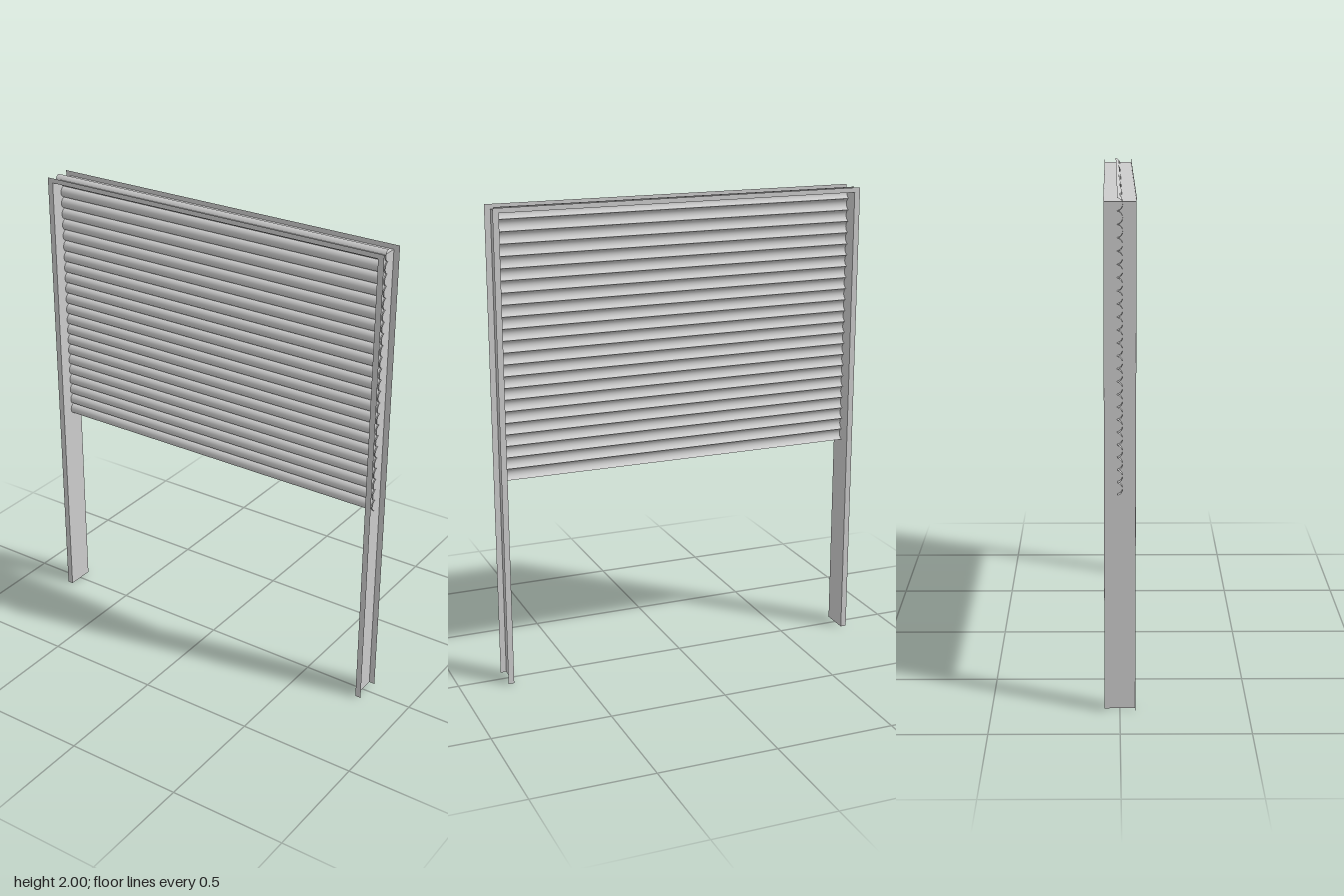
import * as THREE from 'three';

const OUTER = 0.8, INNER = 0.775, TOP = 2, LINTEL = 1.98, HALF_DEPTH = 0.06;

export function createModel() {
  const group = new THREE.Group();
  const mat = new THREE.MeshStandardMaterial({ color: 0xcccccc, side: THREE.DoubleSide });
  const add = (geo, name, parent = group) => {
    const mesh = new THREE.Mesh(geo, mat);
    mesh.name = name;
    parent.add(mesh);
    return mesh;
  };

  // Thin sheet frame: an outward-opening channel round both sides and the top
  const frame = new THREE.Group();
  frame.name = 'frame';
  group.add(frame);

  const outline = new THREE.Shape([
    [-OUTER, 0], [-INNER, 0], [-INNER, LINTEL], [INNER, LINTEL],
    [INNER, 0], [OUTER, 0], [OUTER, TOP], [-OUTER, TOP],
  ].map(([x, y]) => new THREE.Vector2(x, y)));
  for (const s of [1, -1]) {
    const geo = new THREE.ShapeGeometry(outline);
    if (s < 0) geo.rotateY(Math.PI);
    add(geo, s > 0 ? 'frontFlange' : 'backFlange', frame).position.z = s * HALF_DEPTH;

    // Side web joining the two flanges
    const web = new THREE.PlaneGeometry(HALF_DEPTH * 2, LINTEL).rotateY(s * Math.PI / 2);
    add(web, s > 0 ? 'leftWeb' : 'rightWeb', frame).position.set(s * INNER, LINTEL / 2, 0);
  }
  const topWeb = new THREE.PlaneGeometry(INNER * 2, HALF_DEPTH * 2).rotateX(-Math.PI / 2);
  add(topWeb, 'topWeb', frame).position.y = LINTEL;

  // Curtain of curved slats, bulging forward and running into the channels
  const curtain = new THREE.Group();
  curtain.name = 'curtain';
  group.add(curtain);

  const count = 23, bottom = 0.88, top = 1.997, sag = 0.02;
  const pitch = (top - bottom) / count;
  const radius = (pitch * pitch / 4 + sag * sag) / (2 * sag);
  const half = Math.asin(pitch / 2 / radius);
  const slat = new THREE.CylinderGeometry(radius, radius, 1.58, 12, 1, true, -half, half * 2);
  slat.rotateZ(Math.PI / 2).translate(-0.01, 0, sag / 2 - radius);
  for (let i = 0; i < count; i++) {
    add(slat, 'slat', curtain).position.y = bottom + (i + 0.5) * pitch;
  }
  return group;
}
